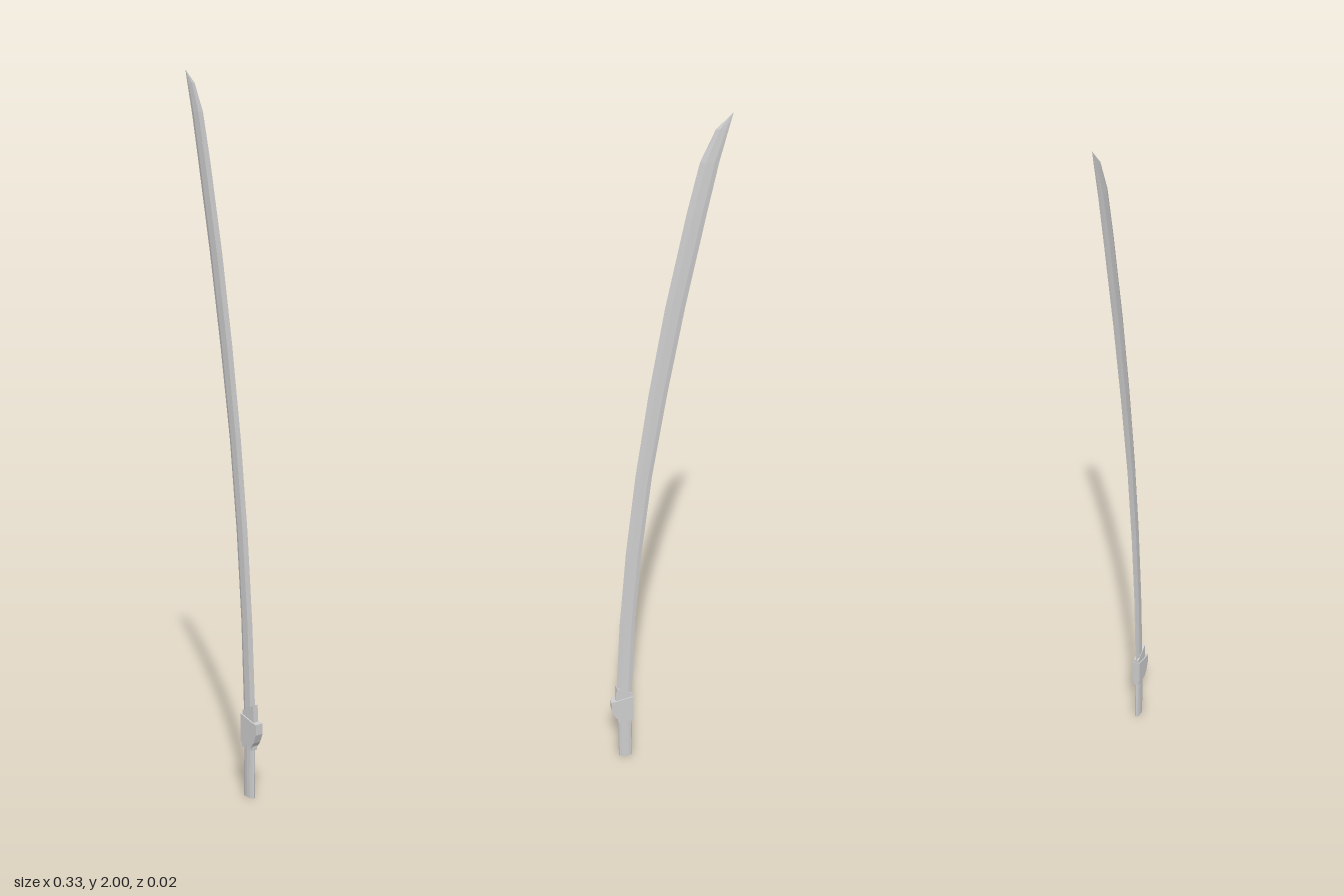
import * as THREE from 'three';

const material = new THREE.MeshStandardMaterial({ color: 0xcccccc, flatShading: true, side: THREE.DoubleSide });

function addMesh(group, name, geometry) {
  const mesh = new THREE.Mesh(geometry, material);
  mesh.name = name;
  group.add(mesh);
  return mesh;
}

// Flat plate cut from an outline in x and y, centred on z
function plate(points, depth) {
  const shape = new THREE.Shape(points.map(([x, y]) => new THREE.Vector2(x, y)));
  const geometry = new THREE.ExtrudeGeometry(shape, { depth, bevelEnabled: false });
  return geometry.translate(0, 0, -depth / 2);
}

// Closed skin over a stack of equal-length rings, ordered from bottom to top
function loft(rings) {
  const n = rings[0].length;
  const index = [];
  for (let i = 0; i < rings.length - 1; i++) {
    for (let j = 0; j < n; j++) {
      const a = i * n + j, b = i * n + (j + 1) % n;
      index.push(a, b, b + n, a, b + n, a + n);
    }
  }
  for (let j = 1; j < n - 1; j++) index.push(0, j + 1, j);
  const geometry = new THREE.BufferGeometry();
  geometry.setAttribute('position', new THREE.Float32BufferAttribute(rings.flat(2), 3));
  geometry.setIndex(index);
  const flat = geometry.toNonIndexed();
  flat.computeVertexNormals();
  return flat;
}

function bladeGeometry() {
  // height, spine x, cutting edge x, thickness factor
  const stations = [
    [0.2, 0.105, 0.152, 1], [0.5, 0.09, 0.135, 1], [0.75, 0.068, 0.113, 1],
    [1.0, 0.037, 0.083, 1], [1.25, -0.005, 0.045, 1], [1.5, -0.052, 0, 1],
    [1.75, -0.105, -0.054, 0.95], [1.88, -0.134, -0.086, 0.8],
    [1.96, -0.156, -0.124, 0.4], [2.0, -0.167, -0.167, 0],
  ];
  // Section across the blade: narrow spine, flat sides, sharp edge
  const section = [[0, 0.35], [0.25, 1], [0.7, 0.9], [1, 0], [0.7, -0.9], [0.25, -1], [0, -0.35]];
  return loft(stations.map(([y, spine, edge, t]) =>
    section.map(([u, w]) => [spine + (edge - spine) * u, y, w * t * 0.007])));
}

export function createModel() {
  const sword = new THREE.Group();
  sword.name = 'curvedSword';

  addMesh(sword, 'blade', bladeGeometry());

  // Sleeve at the root of the blade
  addMesh(sword, 'bladeCollar', plate(
    [[0.102, 0.14], [0.147, 0.14], [0.152, 0.22], [0.15, 0.27], [0.102, 0.245]], 0.016));

  // Slanted guard that juts out on the edge side
  addMesh(sword, 'guard', plate(
    [[0.1, 0.155], [0.146, 0.15], [0.157, 0.165], [0.167, 0.19], [0.167, 0.22], [0.15, 0.222], [0.1, 0.235]], 0.024));

  // Oval grip
  const grip = addMesh(sword, 'grip', new THREE.CylinderGeometry(0.021, 0.021, 0.17, 12));
  grip.scale.z = 0.42;
  grip.position.set(0.125, 0.085, 0);

  return sword;
}
